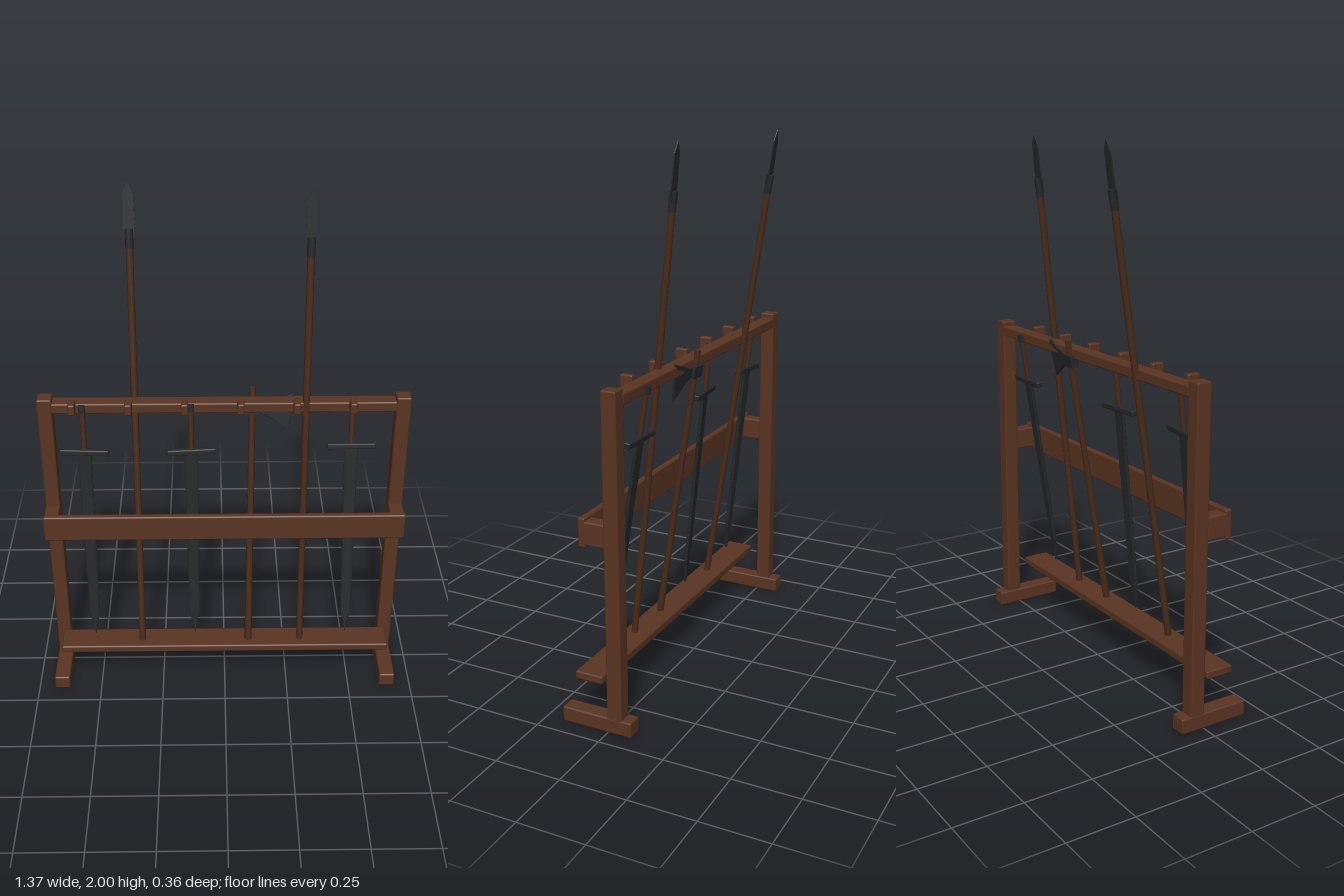
import * as THREE from 'three';
import { RoundedBoxGeometry } from 'three/addons/geometries/RoundedBoxGeometry.js';

const mat = (name, color) => {
  const m = new THREE.MeshStandardMaterial({ color });
  m.name = name;
  return m;
};

export function createModel() {
  const wood = mat('frame wood', 0x5a3422);
  const shaftWood = mat('handle wood', 0x4a2b1b);
  const iron = mat('dark iron', 0x25282a);
  const model = new THREE.Group();
  model.name = 'weaponRack';

  const add = (parent, name, geometry, material, x = 0, y = 0, z = 0) => {
    const mesh = new THREE.Mesh(geometry, material);
    mesh.name = name;
    mesh.position.set(x, y, z);
    parent.add(mesh);
    return mesh;
  };
  // Beam given by its extents, with softened edges
  const beam = (name, x0, x1, y0, y1, z0, z1) => add(model, name,
    new RoundedBoxGeometry(x1 - x0, y1 - y0, z1 - z0, 1, 0.006), wood,
    (x0 + x1) / 2, (y0 + y1) / 2, (z0 + z1) / 2);
  const rod = (r0, r1, h, n = 8) => new THREE.CylinderGeometry(r1, r0, h, n);
  // Flat plate cut from an outline, with a small bevel
  const plate = (points, depth, bevel) => {
    const g = new THREE.ExtrudeGeometry(new THREE.Shape(points.map(p => new THREE.Vector2(...p))), {
      depth, bevelEnabled: bevel > 0, bevelSize: bevel, bevelThickness: bevel, bevelOffset: -bevel, bevelSegments: 1,
    });
    g.translate(0, 0, -depth / 2);
    return g;
  };
  // Group standing at (x, y, z) and leaning back by a slope
  const leaning = (name, x, y, z, slope, yaw = 0, roll = 0) => {
    const g = new THREE.Group();
    g.name = name;
    g.position.set(x, y, z);
    g.rotation.set(-Math.atan(slope), yaw, roll);
    model.add(g);
    return g;
  };

  // Frame sides
  for (const s of [-1, 1]) {
    const side = s < 0 ? 'right' : 'left';
    const a = Math.min(s * 0.63, s * 0.685), b = Math.max(s * 0.63, s * 0.685);
    beam(side + 'Post', a, b, 0.04, 1.24, -0.055, 0.003);
    beam(side + 'Foot', Math.min(s * 0.625, s * 0.686), Math.max(s * 0.625, s * 0.686), 0, 0.057, -0.092, 0.182);
    beam(side + 'Spacer', a, b, 0.69, 0.775, -0.002, 0.08);
  }

  // Rails, front board and shelf
  beam('topRail', -0.635, 0.635, 1.182, 1.222, -0.056, 0.001);
  beam('frontBoard', -0.685, 0.685, 0.68, 0.786, 0.074, 0.1);
  beam('shelf', -0.652, 0.652, 0.158, 0.189, 0.038, 0.147);
  for (let i = 0; i < 6; i++) {
    const x = -0.555 + i * 0.205;
    beam('peg', x - 0.013, x + 0.013, 1.197, 1.24, -0.005, 0.044);
  }

  // Spears
  for (const [x, slope] of [[-0.33, 0.155], [0.3, 0.105]]) {
    const spear = leaning('spear', x, 0.185, 0.102, slope);
    const len = 1.815 * Math.hypot(1, slope);
    add(spear, 'spearShaft', rod(0.013, 0.013, len - 0.2), shaftWood, 0, (len - 0.2) / 2);
    add(spear, 'spearSocket', rod(0.014, 0.016, 0.07), iron, 0, len - 0.2);
    add(spear, 'spearBlade', plate([
      [-0.015, -0.2], [0.015, -0.2], [0.021, -0.17], [0.018, -0.04], [0, 0], [-0.018, -0.04], [-0.021, -0.17],
    ], 0.004, 0), iron, 0, len);
  }

  // Swords, point down
  for (const [x, slope, yaw] of [[-0.515, 0.106, -0.08], [-0.118, 0.106, 0.08], [0.482, 0.16, 0]]) {
    const sword = leaning('sword', x, 0.22, 0.1, slope, yaw, 0.006);
    add(sword, 'swordBlade', plate([
      [0, 0], [0.02, 0.1], [0.026, 0.81], [-0.026, 0.81], [-0.02, 0.1],
    ], 0.004, 0.004), iron);
    add(sword, 'swordGuard', new RoundedBoxGeometry(0.184, 0.022, 0.024, 1, 0.005), iron, 0, 0.81);
    add(sword, 'swordGrip', rod(0.01, 0.01, 0.17), shaftWood, 0, 0.9);
    add(sword, 'swordPommel', rod(0.015, 0.015, 0.03), iron, 0, 0.99);
  }

  // Axe
  const axe = leaning('axe', 0.094, 0.185, 0.102, 0.158, -0.06, -0.01);
  add(axe, 'axeHandle', rod(0.014, 0.012, 1.08), shaftWood, 0, 0.54);
  add(axe, 'axeSocket', new THREE.BoxGeometry(0.06, 0.045, 0.03), iron, -0.003, 1.0);
  add(axe, 'axeBlade', plate([
    [0.01, 0.98], [0.05, 0.975], [0.136, 0.917], [0.146, 0.985], [0.152, 1.06], [0.05, 1.022], [0.01, 1.02],
  ], 0.006, 0.002), iron);

  return model;
}
